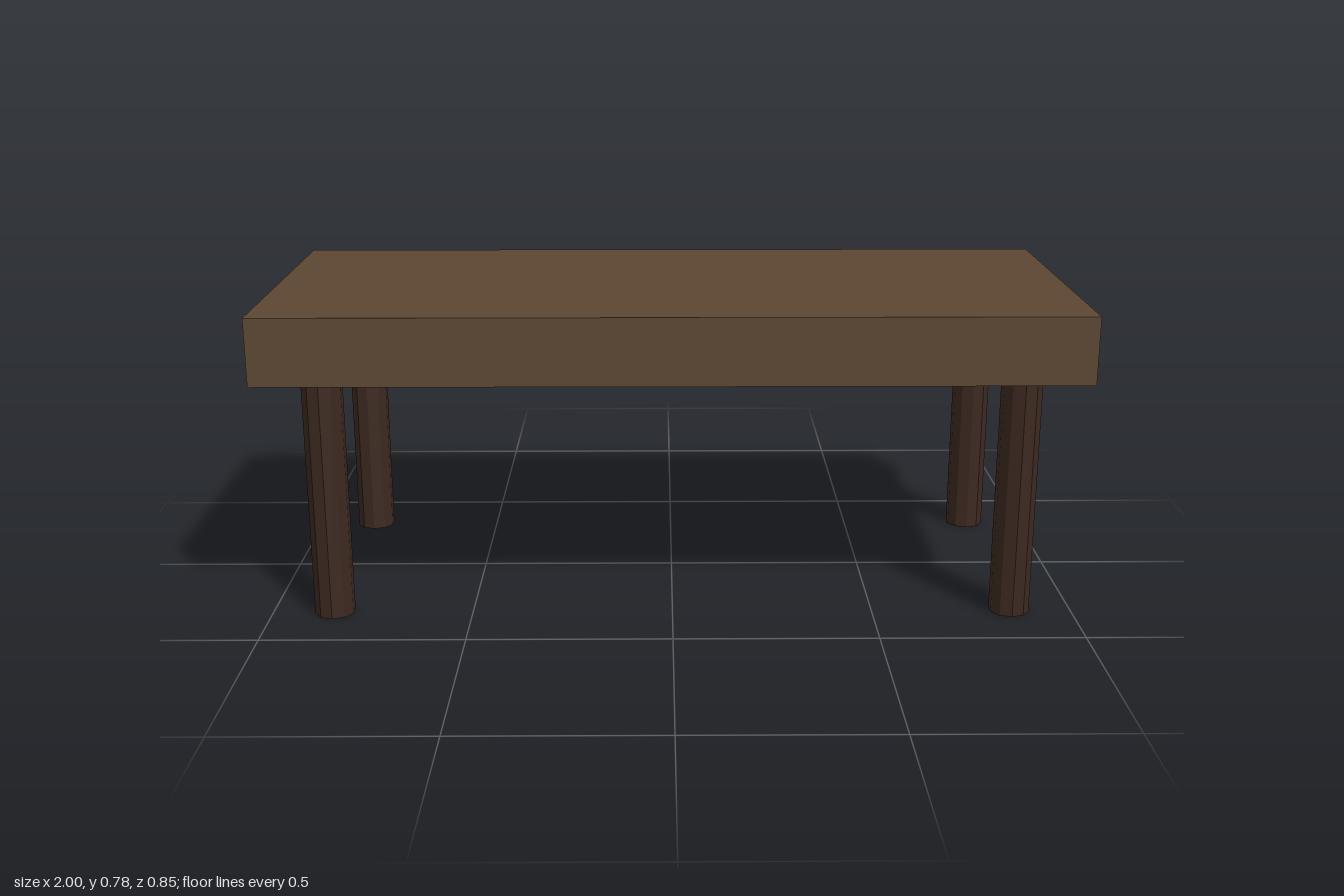
import * as THREE from 'three';

export function createModel() {
  const table = new THREE.Group();
  table.name = 'table';

  const topWood = new THREE.MeshStandardMaterial({ color: 0x5c4632 });
  const legWood = new THREE.MeshStandardMaterial({ color: 0x3b281f, flatShading: true });

  const legHeight = 0.61;
  const topThickness = 0.167;

  // Thick slab top
  const top = new THREE.Mesh(new THREE.BoxGeometry(2, topThickness, 0.846), topWood);
  top.name = 'tableTop';
  top.position.y = legHeight + topThickness / 2;
  table.add(top);

  // Four ten-sided legs, one per corner
  const legGeometry = new THREE.CylinderGeometry(0.05, 0.05, legHeight, 10);
  for (const [sx, side] of [[1, 'Left'], [-1, 'Right']]) {
    for (const [sz, end] of [[1, 'front'], [-1, 'back']]) {
      const leg = new THREE.Mesh(legGeometry, legWood);
      leg.name = `${end}${side}Leg`;
      leg.position.set(sx * 0.846, legHeight / 2, sz * 0.323);
      table.add(leg);
    }
  }

  return table;
}
